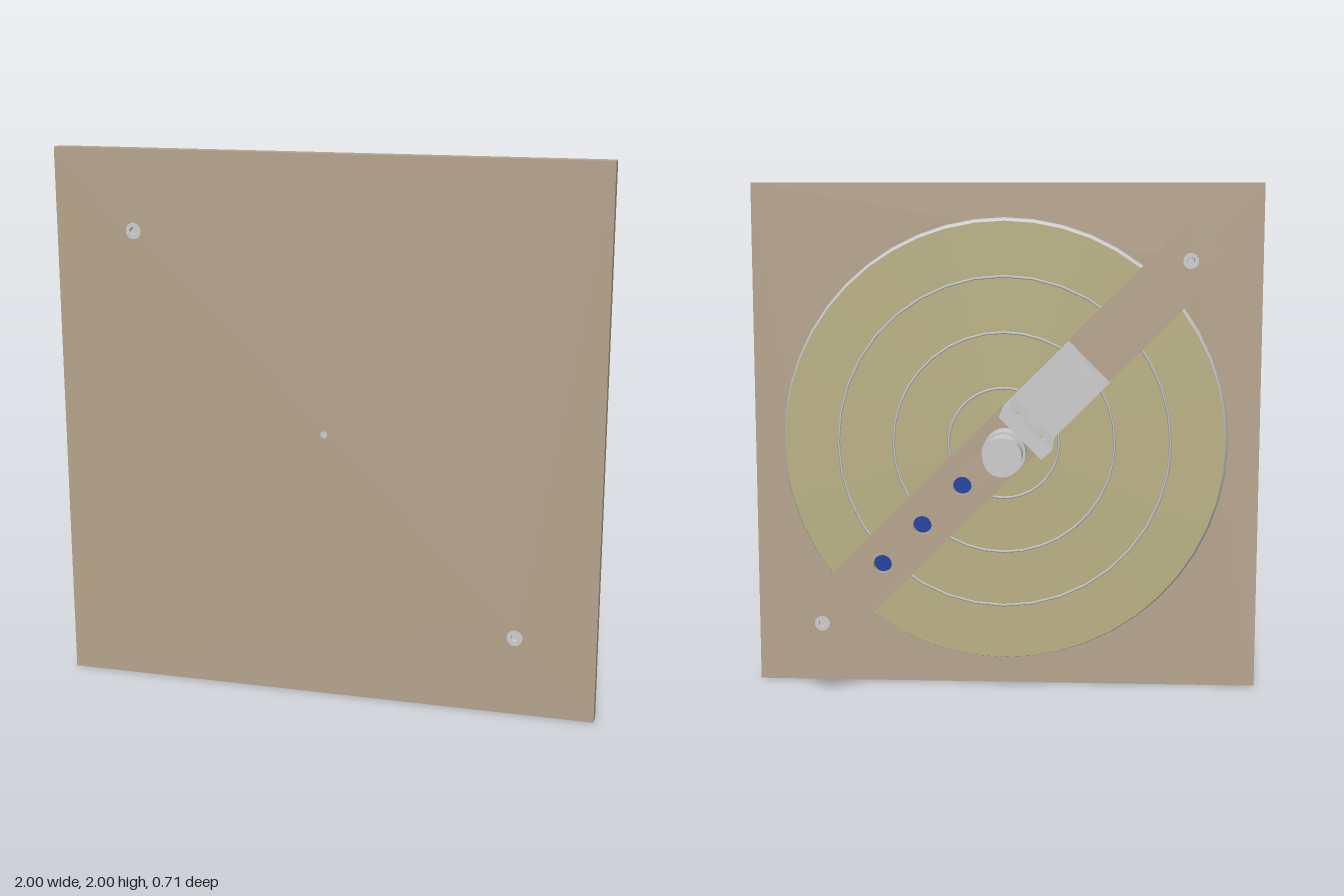
import * as THREE from 'three';
import { toCreasedNormals } from 'three/addons/utils/BufferGeometryUtils.js';

const mat = (color) => new THREE.MeshStandardMaterial({ color });
const grey = mat(0xcccccc);
const wood = mat(0xb5a48c);
const cream = mat(0xb8b083);
const blue = mat(0x1a3fa0);

function add(parent, name, geometry, material, x = 0, y = 0, z = 0) {
  const mesh = new THREE.Mesh(geometry, material);
  mesh.name = name;
  mesh.position.set(x, y, z);
  parent.add(mesh);
  return mesh;
}

// Box given by its limits on each axis
function block(parent, name, material, [x0, x1], [y0, y1], [z0, z1]) {
  return add(parent, name, new THREE.BoxGeometry(x1 - x0, y1 - y0, z1 - z0), material,
    (x0 + x1) / 2, (y0 + y1) / 2, (z0 + z1) / 2);
}

// Cylinder along z between two depths
function rod(parent, name, material, r, z0, z1, x = 0, y = 0, sides = 24) {
  const g = new THREE.CylinderGeometry(r, r, z1 - z0, sides).rotateX(Math.PI / 2);
  return add(parent, name, g, material, x, y, (z0 + z1) / 2);
}

// Profile of [radius, z] pairs turned about the z axis
function turned(parent, name, material, profile, sides, x = 0) {
  const pts = profile.map(([r, z]) => new THREE.Vector2(r, z));
  const g = toCreasedNormals(new THREE.LatheGeometry(pts, sides).rotateX(Math.PI / 2), 0.6);
  return add(parent, name, g, material, x);
}

// Board in the xy plane with round holes given as [x, y, radius]
function board(parent, name, material, halfW, halfH, z0, z1, holes) {
  const s = new THREE.Shape();
  s.moveTo(-halfW, -halfH).lineTo(halfW, -halfH).lineTo(halfW, halfH).lineTo(-halfW, halfH);
  s.closePath();
  for (const [x, y, r] of holes) s.holes.push(new THREE.Path().absarc(x, y, r, 0, Math.PI * 2, true));
  const g = new THREE.ExtrudeGeometry(s, { depth: z1 - z0, bevelEnabled: false, curveSegments: 12 });
  return add(parent, name, g, material, 0, 0, z0);
}

export function createModel() {
  const model = new THREE.Group();
  const body = new THREE.Group();
  body.name = 'wheelAssembly';
  body.position.y = 1;
  model.add(body);

  // Square front panel with two screw holes
  const d = Math.SQRT1_2;
  board(body, 'frontPanel', wood, 1, 1, 0.3, 0.353, [[-d, d, 0.03], [d, -d, 0.03]]);

  // Axle and stepped bearing between panel and wheel
  rod(body, 'axle', grey, 0.013, -0.15, 0.354);
  rod(body, 'bearingPlate', grey, 0.333, 0.258, 0.3, 0, 0, 40);
  rod(body, 'bearingHub', grey, 0.175, 0.235, 0.258, 0, 0, 32);

  // Wheel with rounded rim and a pale back disc
  turned(body, 'wheel', grey, [[0, 0.165], [0.85, 0.165], [0.862, 0.178], [0.868, 0.2],
    [0.862, 0.222], [0.845, 0.237], [0, 0.237]], 48);
  rod(body, 'backDisc', cream, 0.855, 0.156, 0.168, 0, 0, 48);
  for (const r of [0.215, 0.43, 0.645]) {
    const ring = add(body, 'trackRing', new THREE.TorusGeometry(r, 0.005, 4, 36), grey, 0, 0, 0.156);
    ring.scale.z = 0.5;
  }

  // Diagonal arm: its x axis points to the upper corner on the model's right
  const arm = new THREE.Group();
  arm.name = 'diagonalArm';
  arm.rotation.z = Math.PI * 0.75;
  body.add(arm);
  const sensors = [-0.22, -0.44, -0.66];
  board(arm, 'armBar', wood, 1.113, 0.11, 0.072, 0.125,
    [[-1, 0, 0.03], [1, 0, 0.03], ...sensors.map((x) => [x, 0, 0.036])]);

  // Standoffs with socket screws at both ends
  for (const x of [-1, 1]) {
    rod(arm, 'standoff', grey, 0.021, 0.11, 0.32, x);
    turned(arm, 'frontScrew', grey, [[0.03, 0.31], [0.03, 0.351], [0.014, 0.351],
      [0.012, 0.335], [0, 0.335]], 16, x);
    turned(arm, 'backScrew', grey, [[0, 0.09], [0.012, 0.09], [0.014, 0.074],
      [0.03, 0.074], [0.03, 0.115]], 16, x);
  }

  // Sensors seated in the arm, one over each ring
  for (const x of sensors) {
    turned(arm, 'sensor', blue, [[0, 0.1], [0.035, 0.1], [0.035, 0.125], [0.042, 0.125],
      [0.042, 0.131], [0.022, 0.131], [0, 0.128]], 16, x);
  }

  // Angle bracket with a rib
  block(arm, 'bracketBase', grey, [0.118, 0.465], [-0.11, 0.11], [0.02, 0.072]);
  const plate = board(arm, 'bracketPlate', grey, 0.157, 0.11, 0, 0.054,
    [[0.109, -0.06, 0.013], [0.109, 0.06, 0.013]]);
  plate.rotation.y = Math.PI / 2;
  plate.position.set(0.118, 0, -0.136);
  block(arm, 'bracketRib', grey, [0.17, 0.468], [-0.026, 0.026], [-0.2, 0.022]);

  // Geared motor, its axis offset from the axle, and the coupling
  rod(arm, 'motor', grey, 0.071, -0.352, -0.25, 0.031);
  rod(arm, 'gearbox', grey, 0.08, -0.252, -0.147, 0.031);
  rod(arm, 'gearboxBoss', grey, 0.022, -0.148, -0.118);
  rod(arm, 'coupling', grey, 0.025, -0.083, 0.003);

  return model;
}
